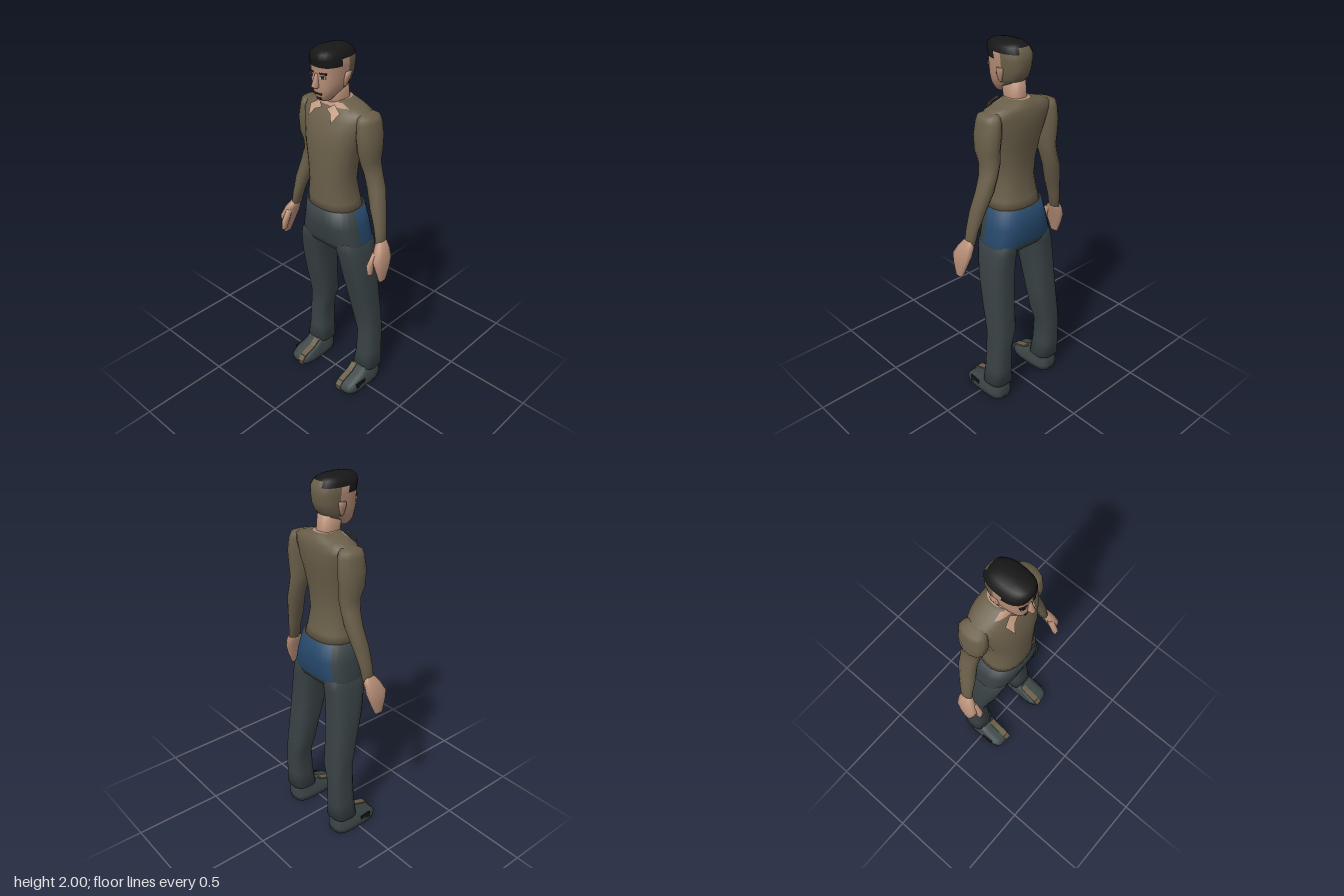
import * as THREE from 'three';

const mat = (name, color) => {
  const m = new THREE.MeshStandardMaterial({ color });
  m.name = name;
  return m;
};

export function createModel() {
  const shirt = mat('olive shirt', 0x6a5f4a), trousers = mat('charcoal trousers', 0x384144);
  const skin = mat('skin', 0xb88f78), hair = mat('black hair', 0x171717);
  const seat = mat('blue seat', 0x25476a), shoe = mat('grey shoe', 0x3c4647);
  const dark = mat('dark features', 0x2a211d), white = mat('eye white', 0xa9a29a);
  const collar = mat('collar skin', 0xc09a80);
  const root = new THREE.Group();
  root.name = 'standingMan';

  const add = (name, geo, material, parent = root) => {
    const mesh = new THREE.Mesh(geo, material);
    mesh.name = name;
    parent.add(mesh);
    return mesh;
  };

  // Smooth loft through rounded rings [y, x0, x1, z0, z1, squareness], from bottom to top.
  // pick(x, y, z) may choose a material index for each face.
  function loft(rings, { n = 16, power = 2.5, pick = () => 0 } = {}) {
    const pos = [], faces = [[], [], []];
    const round = (v, p) => Math.sign(v) * Math.pow(Math.abs(v), 2 / p);
    for (const [y, x0, x1, z0, z1, p = power] of rings) {
      for (let i = 0; i < n; i++) {
        const a = (i + 0.5) / n * Math.PI * 2;
        pos.push((x0 + x1) / 2 + (x1 - x0) / 2 * round(Math.cos(a), p), y,
          (z0 + z1) / 2 + (z1 - z0) / 2 * round(Math.sin(a), p));
      }
    }
    const ends = [rings[0], rings[rings.length - 1]];
    for (const [y, x0, x1, z0, z1] of ends) pos.push((x0 + x1) / 2, y, (z0 + z1) / 2);
    const tri = (ids, group) => faces[group].push(...ids);
    const group = (ids) => {
      const mean = [0, 1, 2].map((k) => ids.reduce((s, i) => s + pos[i * 3 + k], 0) / ids.length);
      return pick(...mean);
    };
    const top = (rings.length - 1) * n, low = rings.length * n;
    for (let i = 0; i < n; i++) {
      const j = (i + 1) % n;
      for (let r = 0; r < rings.length - 1; r++) {
        const a = r * n + i, b = r * n + j, c = a + n, d = b + n;
        const g = group([a, b, c, d]);
        tri([a, c, b], g);
        tri([b, c, d], g);
      }
      tri([low, i, j], group([low, i, j]));
      tri([low + 1, top + j, top + i], group([low + 1, top + j, top + i]));
    }
    const geo = new THREE.BufferGeometry();
    geo.setAttribute('position', new THREE.Float32BufferAttribute(pos, 3));
    geo.setIndex(faces.flat());
    let start = 0;
    faces.forEach((f, k) => { if (f.length) geo.addGroup(start, f.length, k); start += f.length; });
    geo.computeVertexNormals();
    return geo;
  }
  const centred = (rows) => rows.map(([y, w, z0, z1, p]) => [y, -w, w, z0, z1, p]);
  const sided = (rows, s) => (s > 0 ? rows : rows.map(([y, a, b, c, d]) => [y, -b, -a, c, d]));

  // Torso, bare at the neck opening
  add('shirtTorso', loft(centred([
    [1.14, .153, -.122, .12], [1.2, .14, -.105, .12], [1.3, .125, -.09, .125],
    [1.4, .135, -.095, .125], [1.5, .155, -.11, .125], [1.58, .175, -.127, .115],
    [1.65, .195, -.13, .09], [1.685, .195, -.125, .065], [1.705, .135, -.118, .052],
    [1.722, .075, -.106, .042], [1.732, .058, -.095, .035],
  ]), { n: 24, power: 2.3, pick: (x, y, z) => (y > 1.73 || (y > 1.71 && z > .02) ? 1 : 0) }), [shirt, skin]);

  // Hips curving under to the crotch, with the blue patch across the rear
  add('hips', loft(centred([
    [.915, .1, -.085, .055, 3], [.925, .185, -.12, .085, 3.4], [.965, .196, -.139, .105, 3.2],
    [1.06, .175, -.145, .12, 2.7], [1.16, .157, -.127, .125, 2.5],
  ]), { n: 28, pick: (x, y, z) => (y > .97 && y < 1.159 && z < .005 && x > -.135 ? 1 : 0) }), [trousers, seat]);

  // Neck and head
  add('neck', loft(centred([[1.68, .055, -.085, .04], [1.74, .05, -.075, .045], [1.81, .048, -.07, .06]])), skin);
  const head = new THREE.Group();
  head.name = 'head';
  root.add(head);
  add('skull', loft(centred([
    [1.745, .03, .04, .105], [1.775, .05, .0, .122], [1.8, .064, -.05, .126], [1.83, .074, -.08, .13],
    [1.87, .08, -.095, .13], [1.915, .084, -.1, .132], [1.95, .086, -.098, .14],
    [1.978, .074, -.082, .14], [1.992, .054, -.06, .125], [2, .026, -.03, .08],
  ]), {
    n: 24,
    pick: (x, y, z) => ((y > 1.95 && z > -.078) || (y > 1.915 && z > .03) ? 1 : z < .015 && y > 1.785 ? 2 : 0),
  }), [skin, hair, shirt], head);
  add('nose', loft(centred([[1.815, .012, .11, .148], [1.826, .017, .11, .16], [1.885, .008, .11, .136]]), { n: 8 }), skin, head);
  add('moustache', new THREE.BoxGeometry(.05, .008, .009), dark, head).position.set(0, 1.785, .122);
  add('chinBeard', new THREE.BoxGeometry(.026, .014, .009), dark, head).position.set(0, 1.76, .112);

  for (const s of [1, -1]) {
    const side = s > 0 ? 'left' : 'right';
    const part = (name, rows, material, options) => add(side + name, loft(sided(rows, s), options), material);
    const plate = (name, size, at, material, rx = 0, ry = 0) => {
      const mesh = add(side + name, new THREE.BoxGeometry(...size), material);
      mesh.position.set(at[0] * s, at[1], at[2]);
      mesh.rotation.set(rx, ry * s, 0);
    };

    // Face details
    plate('Brow', [.038, .008, .009], [.036, 1.888, .123], dark, 0, .25);
    plate('EyeWhite', [.028, .012, .008], [.036, 1.87, .122], white, 0, .25);
    plate('Pupil', [.016, .013, .009], [.035, 1.87, .1235], dark, 0, .25);
    part('Ear', [[1.81, .065, .075, .0, .02], [1.85, .07, .09, -.015, .025], [1.88, .07, .097, -.02, .02]], skin, { n: 8 });

    // Pointed collar: bare colour in front, shirt colour behind
    const corners = [[.015, 1.7, .08], [.05, 1.685, .092], [.074, 1.648, .115], [.096, 1.695, .075], [.05, 1.725, .06]];
    const front = [0, 1, 4, 1, 2, 3, 1, 3, 4], back = [...front].reverse();
    const flap = new THREE.BufferGeometry();
    const order = s > 0 ? [...front, ...back] : [...back, ...front];
    flap.setAttribute('position', new THREE.Float32BufferAttribute(
      order.flatMap((i) => [corners[i][0] * s, corners[i][1], corners[i][2]]), 3));
    flap.addGroup(0, 9, 0);
    flap.addGroup(9, 9, 1);
    flap.computeVertexNormals();
    add(side + 'Collar', flap, [collar, shirt]);

    // Sleeve, hand and thumb
    part('Sleeve', [
      [1.02, .285, .328, -.045, .025], [1.1, .265, .32, -.055, .02], [1.2, .225, .303, -.075, .015],
      [1.3, .188, .278, -.097, .0], [1.38, .166, .25, -.103, .005], [1.44, .15, .238, -.105, .02],
      [1.5, .145, .25, -.107, .04], [1.58, .14, .249, -.115, .05], [1.65, .14, .236, -.112, .045],
      [1.678, .142, .228, -.1, .035], [1.69, .15, .19, -.08, .01],
    ], shirt, { n: 12, power: 2.1 });
    part('Hand', [
      [.83, .343, .363, .0, .05], [.9, .325, .368, -.03, .07], [.95, .31, .366, -.047, .08],
      [1.0, .295, .352, -.047, .052], [1.04, .287, .328, -.04, .02],
    ], skin, { n: 10 });
    part('Thumb', [[.88, .305, .33, .065, .097], [.93, .297, .328, .05, .1], [.99, .3, .33, .02, .06]], skin, { n: 8 });

    // Trouser leg
    part('Leg', [
      [.1, .11, .26, -.15, .0], [.2, .125, .25, -.155, -.012], [.35, .125, .245, -.157, -.02],
      [.45, .09, .24, -.155, -.015], [.6, .08, .235, -.14, .022], [.75, .07, .227, -.13, .06],
      [.86, .06, .215, -.128, .082], [.92, .05, .204, -.13, .094], [.96, .045, .193, -.13, .097],
      [1.0, .05, .17, -.11, .085],
    ], trousers, { n: 16, power: 2.8 });

    // Shoe with a dark side patch and a stripe running from the toe to the ankle
    part('Shoe', [
      [0, .115, .253, -.138, .138], [.03, .115, .255, -.14, .145], [.055, .12, .25, -.14, .12],
      [.08, .125, .242, -.14, .04], [.115, .13, .235, -.13, .0],
    ], shoe, { n: 20, power: 3.6 });
    plate('ShoePatch', [.009, .034, .07], [.249, .042, .052], hair);
    const stripe = [[.139, .004], [.143, .03], [.121, .057], [.041, .084], [.003, .114]];
    for (let i = 0; i < stripe.length - 1; i++) {
      const [z0, y0] = stripe[i], [z1, y1] = stripe[i + 1];
      plate('ShoeStripe', [.036, .008, Math.hypot(z1 - z0, y1 - y0)],
        [.154, (y0 + y1) / 2, (z0 + z1) / 2], shirt, Math.atan2(y1 - y0, z0 - z1));
    }
  }
  return root;
}
